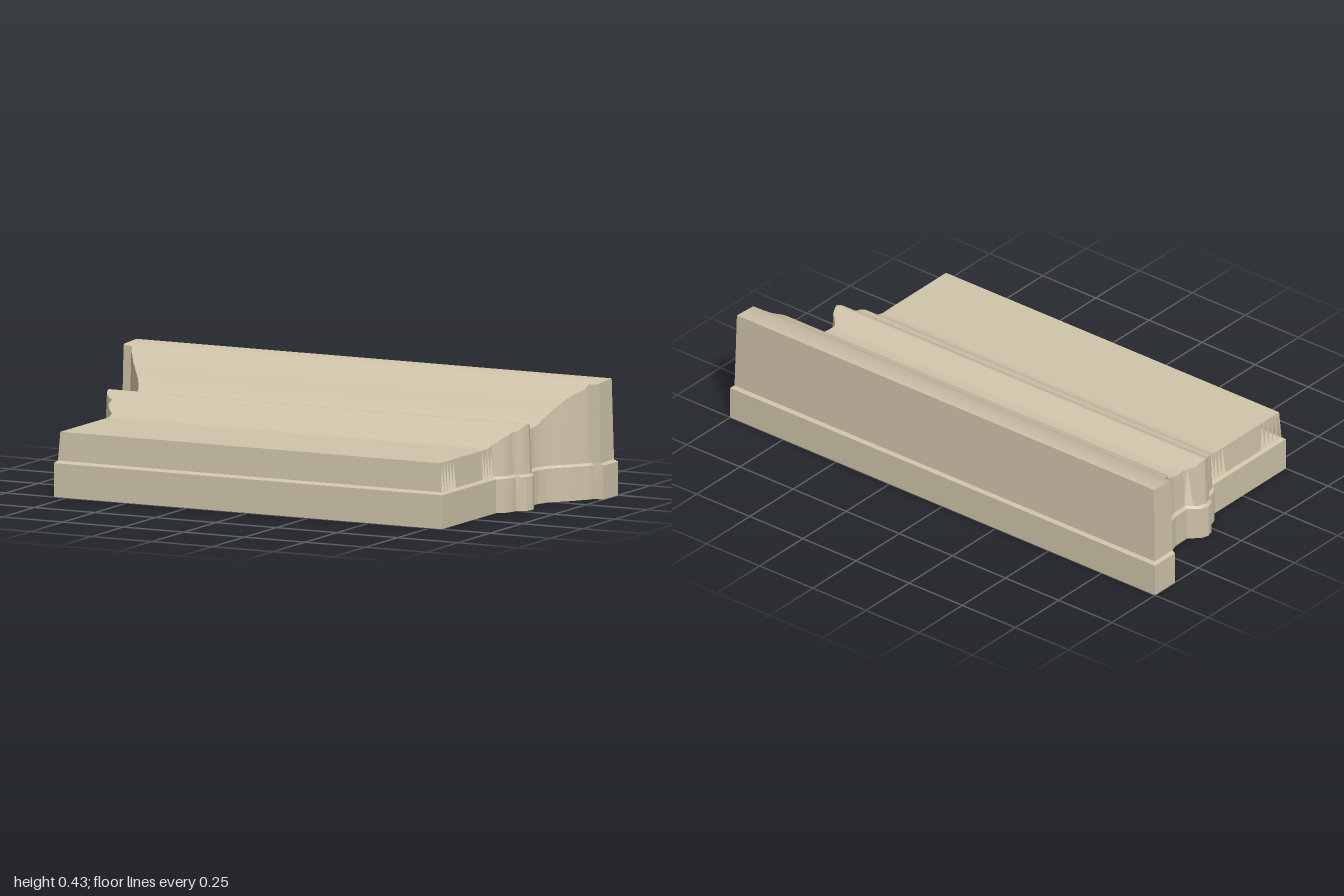
import * as THREE from 'three';
import { toCreasedNormals } from 'three/addons/utils/BufferGeometryUtils.js';

// Plan outline: [z, half width]
const PLAN = [[-0.5, 1], [-0.385, 1], [-0.38, 0.96], [-0.36, 0.955], [-0.34, 0.94], [-0.3, 0.915], [-0.25, 0.87],
  [-0.22, 0.85], [-0.18, 0.838], [-0.1, 0.836], [-0.092, 0.86], [-0.08, 0.875], [-0.05, 0.885], [-0.02, 0.876],
  [-0.005, 0.86], [0, 0.843], [0.03, 0.84], [0.05, 0.832], [0.065, 0.82], [0.08, 0.802], [0.5, 0.802]];

// Moulding profile: [z, height]
const PROFILE = [[-0.5, 0.433], [-0.45, 0.433], [-0.4, 0.432], [-0.38, 0.422], [-0.35, 0.402], [-0.3, 0.378],
  [-0.25, 0.33], [-0.2, 0.29], [-0.17, 0.281], [-0.13, 0.28], [-0.1, 0.287], [-0.07, 0.309], [-0.045, 0.317],
  [-0.02, 0.306], [0, 0.289], [0.02, 0.281], [0.05, 0.274], [0.08, 0.25], [0.11, 0.24], [0.15, 0.24], [0.5, 0.24]];

function sample(table, z, smooth) {
  let i = 0;
  while (i < table.length - 2 && z > table[i + 1][0]) i++;
  const [z0, a] = table[i], [z1, b] = table[i + 1];
  const t = (z - z0) / (z1 - z0), d = z1 - z0;
  if (!smooth) return a + (b - a) * t;
  const slope = (k) => {
    const p = table[Math.max(k - 1, 0)], q = table[Math.min(k + 1, table.length - 1)];
    return (q[1] - p[1]) / (q[0] - p[0]);
  };
  const t2 = t * t, t3 = t2 * t;
  return (2 * t3 - 3 * t2 + 1) * a + (t3 - 2 * t2 + t) * d * slope(i)
    + (3 * t2 - 2 * t3) * b + (t3 - t2) * d * slope(i + 1);
}

// Saw-tooth openings in the end walls: [from z, to z, count]
const GAPS = [[0.37, 0.485, 5], [0.08, 0.165, 4], [-0.115, -0.092, 1]];
const inGap = (z) => GAPS.some(([a, b]) => z > a && z < b);

// Stations from front to back
function makeStations() {
  const set = PLAN.map((p) => p[0]);
  for (let z = -0.39; z < 0.16; z += 0.01) set.push(z);
  const list = set.filter((z) => !inGap(z));
  for (const [a, b, n] of GAPS) for (let i = 0; i <= n; i++) list.push(a + (b - a) * i / n);
  return [...new Set(list.map((z) => +z.toFixed(4)))].sort((a, b) => b - a);
}

// Right-hand edge of one horizontal section
const edge = (zs, inset, endZ, y) => zs.map((z) => {
  const zz = Math.max(-endZ, Math.min(endZ, z));
  return [sample(PLAN, z) - inset, y === null ? sample(PROFILE, zz, true) : y, zz];
});
const mirror = ([x, y, z]) => [-x, y, z];
const ring = (right) => [...right, ...right.map(mirror).reverse()];

function build(name, material, fill, crease) {
  const pos = [];
  const tri = (...pts) => pts.forEach((p) => pos.push(...p));
  fill(tri, (a, b, c, d) => { tri(a, b, c); tri(a, c, d); });
  let geo = new THREE.BufferGeometry();
  geo.setAttribute('position', new THREE.Float32BufferAttribute(pos, 3));
  geo = toCreasedNormals(geo, crease);
  const mesh = new THREE.Mesh(geo, material);
  mesh.name = name;
  return mesh;
}

function walls(low, high, quad) {
  low.forEach((p, i) => {
    const j = (i + 1) % low.length;
    quad(p, low[j], high[j], high[i]);
  });
}

// Strips across the model from the right edge to its mirror
function cap(right, quad, down) {
  for (let i = 0; i < right.length - 1; i++) {
    const a = right[i], b = right[i + 1];
    if (down) quad(mirror(a), mirror(b), b, a);
    else quad(a, b, mirror(b), mirror(a));
  }
}

export function createModel() {
  const group = new THREE.Group();
  group.name = 'mouldedCapital';
  const stone = new THREE.MeshStandardMaterial({ color: 0xcfc3a9, side: THREE.DoubleSide });
  stone.name = 'warm stone';

  const zs = makeStations();
  const foot = edge(zs, 0, 0.5, 0);
  const shoulder = edge(zs, 0, 0.5, 0.125);
  const ledge = edge(zs, 0.011, 0.488, 0.134);
  const rim = edge(zs, 0.018, 0.483, null);

  // Base slab with a small chamfer around the top
  group.add(build('baseSlab', stone, (tri, quad) => {
    walls(ring(foot), ring(shoulder), quad);
    walls(ring(shoulder), ring(ledge), quad);
    cap(foot, quad, true);
    cap(ledge, quad, false);
  }, 0.5));

  // Moulded top running across the full width
  group.add(build('mouldedTop', stone, (tri, quad) => cap(rim, quad, false), 0.6));

  // End, front and back walls, with tapered teeth at the openings
  group.add(build('mouldedWalls', stone, (tri, quad) => {
    const low = ring(ledge), high = ring(rim), n = low.length;
    for (let i = 0; i < n; i++) {
      const j = (i + 1) % n;
      const sameSide = low[i][0] * low[j][0] > 0;
      if (sameSide && inGap((low[i][2] + low[j][2]) / 2)) {
        const mid = high[i].map((v, k) => (v + high[j][k]) / 2);
        tri(low[i], mid, high[i]);
        tri(low[j], high[j], mid);
      } else quad(low[i], low[j], high[j], high[i]);
    }
  }, 0.6));

  return group;
}
